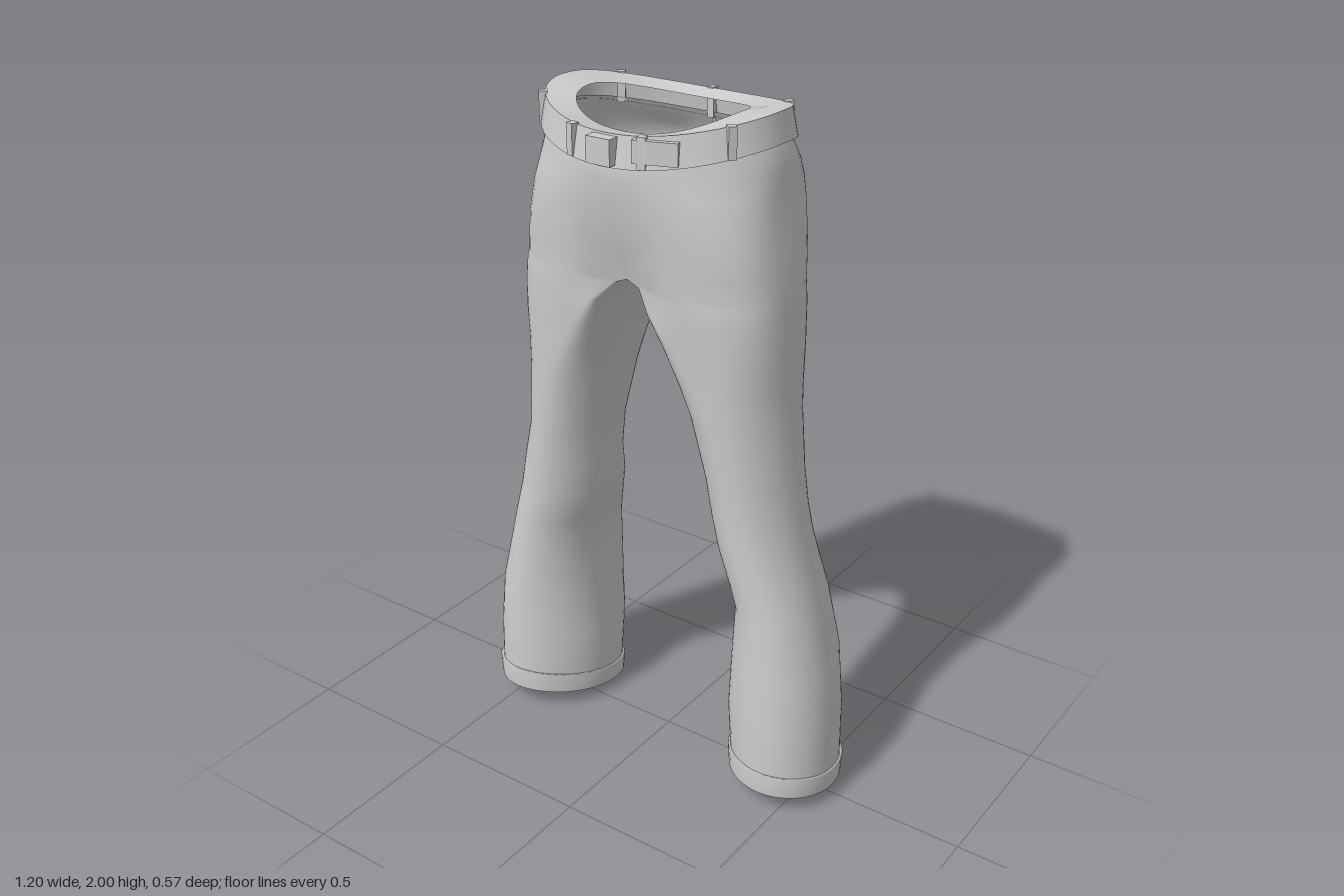
import * as THREE from 'three';
import { mergeGeometries, mergeVertices } from 'three/addons/utils/BufferGeometryUtils.js';

const K = 56, CROTCH = 1.54;
const { smoothstep, clamp } = THREE.MathUtils;
const grey = () => new THREE.MeshStandardMaterial({ color: 0xcccccc, side: THREE.DoubleSide });

// Hip sections: height, right outer, left outer, front depth, back depth
const hips = [
  [1.93, .348, .328, .25, .21],
  [1.89, .362, .343, .254, .235],
  [1.85, .369, .348, .254, .265],
  [1.8, .375, .353, .25, .286],
  [1.75, .381, .359, .243, .293],
  [1.66, .394, .376, .233, .272],
  [1.6, .403, .387, .227, .252],
  [CROTCH, .411, .395, .222, .231],
].map(([y, r, l, f, b]) => [y, r, .01, l, -.01, f, b]);

// Leg sections: height, right outer/inner, left outer/inner, front depth, back depth
const legs = [
  [1.525, .413, .035, .397, .015, .22, .226],
  [1.47, .42, .07, .403, .042, .214, .208],
  [1.38, .43, .1, .409, .072, .204, .185],
  [1.28, .434, .127, .41, .1, .196, .168],
  [1.18, .437, .152, .411, .125, .189, .153],
  [1.0, .447, .195, .427, .17, .175, .14],
  [.88, .475, .212, .442, .19, .17, .15],
  [.78, .492, .22, .46, .21, .168, .172],
  [.68, .514, .25, .487, .242, .166, .195],
  [.6, .53, .275, .512, .264, .165, .213],
  [.42, .57, .288, .558, .252, .178, .238],
  [.25, .588, .262, .583, .245, .188, .22],
  [.07, .588, .268, .588, .258, .19, .205],
];
const rows = [...hips, ...legs];

const power = (v, n) => Math.sign(v) * Math.pow(Math.abs(v), 2 / n);

// Surface strip through a list of equally long point rings
function loft(rings, flip, keep = () => true) {
  const n = rings[0].length, idx = [];
  for (let i = 0; i < rings.length - 1; i++) for (let j = 0; j < n - 1; j++) {
    if (!keep(i, j)) continue;
    const a = i * n + j, b = a + 1, c = a + n, d = c + 1;
    idx.push(...(flip ? [a, b, c, b, d, c] : [a, c, b, b, c, d]));
  }
  const g = new THREE.BufferGeometry();
  g.setAttribute('position', new THREE.Float32BufferAttribute(rings.flat(2), 3));
  g.setIndex(idx);
  return g;
}

function smooth(g) {
  const m = mergeVertices(g, 1e-4);
  m.computeVertexNormals();
  return m;
}

// One closed section; above the crotch its inner half collapses to the centre line
function legRing(row, s, grow = 0, height = null) {
  const y = row[0];
  const out = (s < 0 ? row[1] : row[3]) + grow, inner = (s < 0 ? row[2] : row[4]) - grow;
  const zf = row[5] + grow, zb = row[6] + grow;
  const cx = inner + (out - inner) / 2 * Math.pow(clamp((CROTCH - y) / .4, 0, 1), .7);
  // Hollow around the crotch, cleft between the seat lobes, flat thigh fronts, turned-out calves
  const near = Math.exp(-(((y - CROTCH) / (y < CROTCH ? .05 : .1)) ** 2));
  const cleft = .13 * smoothstep(1.92 - y, 0, .12) * smoothstep(y, CROTCH - .06, CROTCH + .06);
  const hip = smoothstep(y, 1.2, 1.7);
  const thigh = smoothstep(y, 1.15, 1.55) * (1 - smoothstep(y, 1.66, 1.88));
  const skew = .13 * (1 - smoothstep(y, .5, 1));
  const ring = [];
  for (let j = 0; j <= K; j++) {
    const a = j / K * Math.PI * 2, sn = j === K || j === K / 2 ? 0 : Math.sin(a), c = Math.cos(a);
    const n = c >= 0 ? 1.95 + 1.1 * thigh : 2.1 + .5 * hip;
    const x = cx + power(sn, n) * (sn > 0 ? out - cx : cx - inner);
    let z = power(c, n) * (c >= 0 ? zf : zb);
    const g = Math.exp(-(((x - inner) / .085) ** 2));
    z *= 1 - g * (c >= 0 ? .2 * near : cleft + .1 * near);
    const tilt = y < .4 ? .2 * (1 - y / .4) * z : 0;
    const sag = -.6 * z * z * smoothstep(y, 1.8, 1.93);
    ring.push([s * (x + skew * z), height ? height(z) : y + tilt + sag, z]);
  }
  return ring;
}

// Point on the waist outline, with the angle measured from the front
function waist(a, grow = 0) {
  const c = Math.cos(a), n = c >= 0 ? 2 : 2.7;
  return [-.011 + power(Math.sin(a), n) * (.347 + grow), power(c, n) * ((c >= 0 ? .264 : .22) + grow)];
}
const beltTop = z => 2 - .7 * z * z;

export function createModel() {
  const model = new THREE.Group();
  model.name = 'trousers';
  const add = (name, geometry) => {
    const m = new THREE.Mesh(geometry, grey());
    m.name = name;
    model.add(m);
    return m;
  };

  // Seat and both legs share one smooth skin
  const skin = [-1, 1].map(s => loft(rows.map(r => legRing(r, s)), s < 0,
    (i, j) => i >= hips.length - 1 || j < K / 2));
  add('seatAndLegs', smooth(mergeGeometries(skin)));

  // Raised seam down the middle of the seat
  const seam = new THREE.CatmullRomCurve3([
    [1.9, -.22], [1.82, -.244], [1.75, -.257], [1.66, -.232], [1.59, -.205],
  ].map(([y, z]) => new THREE.Vector3(-.008, y, z)));
  add('seatSeam', new THREE.TubeGeometry(seam, 14, .008, 6));

  // Tilted hem bands, open at the bottom
  const last = rows[rows.length - 1];
  for (const s of [-1, 1]) {
    const top = z => .095 + .2 * z, bottom = z => .034 + .16 * z;
    add(s < 0 ? 'rightHem' : 'leftHem', smooth(loft([
      legRing(last, s, 0, top), legRing(last, s, .009, top),
      legRing(last, s, .005, bottom)], s < 0)));
  }

  // Waistband: underside lip, outer wall, and top folded inward around the opening
  const ring = f => Array.from({ length: K + 1 }, (_, j) => f(j / K * Math.PI * 2));
  const outer = (drop, grow) => ring(a => {
    const [x, z] = waist(a, grow);
    return [x, beltTop(z) - drop, z];
  });
  const opening = ring(a => {
    const [, z] = waist(a);
    return [-.012 + .238 * power(Math.sin(a), 2.3), beltTop(z) - .012, .012 + .17 * power(Math.cos(a), 2.3)];
  });
  const low = outer(.078, .009), high = outer(0, -.006);
  add('waistbandLip', smooth(loft([outer(.078, -.012), low], true)));
  add('waistbandWall', smooth(loft([low, high], true)));
  add('waistbandTop', smooth(loft([high, opening], true)));

  // Belt loops, strap end and front buckle, set square to the waist outline
  const fitting = (name, a, w, h, d) => {
    const [x, z] = waist(a), [x1, z1] = waist(a + .03), [x0, z0] = waist(a - .03);
    const m = add(name, new THREE.BoxGeometry(w, h, d));
    m.position.set(x, beltTop(z) - .038, z);
    m.rotation.y = Math.atan2(-(z1 - z0), x1 - x0);
  };
  for (const a of [.32, 1.02, 2.35]) for (const s of [-1, 1]) fitting('beltLoop', s * a, .022, .084, .024);
  fitting('beltLoop', Math.PI, .02, .084, .022);
  fitting('buckle', 0, .075, .07, .056);
  fitting('strapEnd', .42, .12, .06, .02);
  return model;
}
